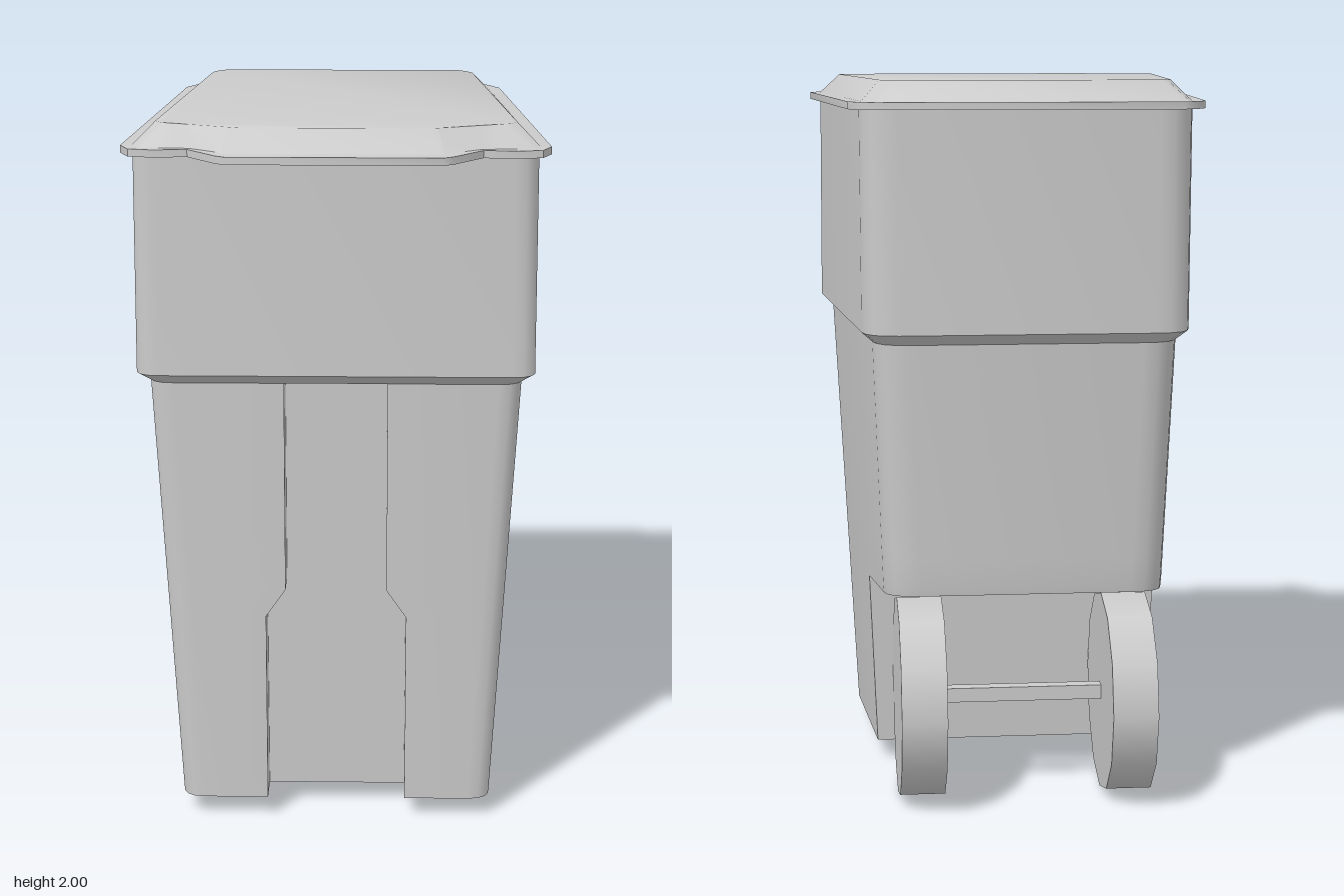
import * as THREE from 'three';
import { toCreasedNormals } from 'three/addons/utils/BufferGeometryUtils.js';

const material = new THREE.MeshStandardMaterial({ color: 0xcccccc, side: THREE.DoubleSide });
const V = (x, y, z) => new THREE.Vector3(x, y, z);
const lerp = THREE.MathUtils.lerp;

// Collects triangles from lofted rings and flat polygons
class Surface {
  constructor() { this.points = []; }
  quad(a, b, c, d) { this.points.push(a, b, c, a, c, d); }
  // rings run anticlockwise seen from above, listed from top to bottom
  loft(rings, keep = () => true) {
    for (let r = 0; r < rings.length - 1; r++) {
      const up = rings[r], low = rings[r + 1], n = up.length;
      for (let i = 0; i < n; i++) {
        const j = (i + 1) % n;
        if (keep(i)) this.quad(up[i], low[i], low[j], up[j]);
      }
    }
  }
  // flat polygon seen from above (or below when down is true)
  cap(ring, down = false) {
    const flat = ring.map(p => new THREE.Vector2(p.x, -p.z));
    for (const [a, b, c] of THREE.ShapeUtils.triangulateShape(flat, [])) {
      if (down) this.points.push(ring[a], ring[c], ring[b]);
      else this.points.push(ring[a], ring[b], ring[c]);
    }
  }
  mesh(name, crease) {
    const geometry = toCreasedNormals(new THREE.BufferGeometry().setFromPoints(this.points), crease);
    const mesh = new THREE.Mesh(geometry, material);
    mesh.name = name;
    return mesh;
  }
}

// Completes a ring from its +x half, which runs front to back
const mirrorRing = half => [...half, ...half.slice().reverse().map(p => V(-p.x, p.y, p.z))];

// Rounded corner at c between the directions of a and b
function corner(a, c, b, radius) {
  const start = c.clone().add(a.clone().sub(c).setLength(radius));
  const end = c.clone().add(b.clone().sub(c).setLength(radius));
  return new THREE.QuadraticBezierCurve3(start, c, end).getPoints(4);
}

// Tapered plan outline: wide at the front, narrow at the back
function binRing({ y, front, back, zf, zb, groove = 0, sideZ = -0.1 }) {
  const f = V(front, y, zf), b = V(back, y, zb);
  const side = f.clone().lerp(b, (zf - sideZ) / (zf - zb));
  const half = [...corner(V(0, y, zf), f, b, 0.07), side, ...corner(f, b, V(0, y, zb), 0.09)];
  if (groove) half.unshift(V(groove, y, zf - 0.1), V(groove, y, zf));
  return mirrorRing(half);
}

function makeLowerBody() {
  const s = new Surface();
  const section = (y, groove, sideZ) => {
    const t = (1.3 - y) / 1.24;
    return binRing({
      y, groove, sideZ,
      front: lerp(0.511, 0.445, t), back: lerp(0.405, 0.36, t),
      zf: lerp(0.485, 0.46, t), zb: lerp(-0.555, -0.475, t),
    });
  };
  const cut = section(0.565, 0.195);
  // the back edge rises towards the rear over the wheels
  for (const p of cut) if (p.z < -0.1) p.y += (-0.1 - p.z) * 0.085;
  const upper = [section(1.3, 0.14), section(0.7, 0.14), section(0.62, 0.195), cut];
  s.loft(upper);
  // front part carries on to the open bottom
  const bottom = section(0.06, 0.195, -0.075);
  s.loft([cut, bottom], i => i < 7 || i >= 18);
  // wheel recess wall and ceiling
  s.quad(cut[7], bottom[7], bottom[18], cut[18]);
  s.cap(cut.slice(7, 19), true);
  // top of the front groove
  const top = upper[0];
  s.cap([top[25], top[24], top[1], top[0]].map(p => p.clone()), true);
  return s.mesh('lowerBody', 0.6);
}

function makeCollar() {
  const s = new Surface();
  s.loft([
    binRing({ y: 1.93, front: 0.541, back: 0.437, zf: 0.52, zb: -0.597 }),
    binRing({ y: 1.33, front: 0.545, back: 0.435, zf: 0.522, zb: -0.59 }),
    binRing({ y: 1.3, front: 0.511, back: 0.405, zf: 0.485, zb: -0.555 }),
  ]);
  return s.mesh('collar', 0.6);
}

function makeLid() {
  const outline = (y, half) => mirrorRing(half.map(([x, z]) => V(x, y, z)));
  // front lip, shoulder, side and back corner of each outline
  const rimHalf = [[0.28, 0.652], [0.305, 0.635], [0.385, 0.54], [0.475, 0.55], [0.54, 0.535],
    [0.565, 0.48], [0.475, -0.54], [0.445, -0.6], [0.405, -0.63]];
  const domeHalf = [[0.27, 0.6], [0.285, 0.595], [0.38, 0.525], [0.43, 0.52], [0.51, 0.515],
    [0.535, 0.47], [0.44, -0.53], [0.427, -0.57], [0.405, -0.6]];
  const topHalf = [[0.25, 0.53], [0.265, 0.524], [0.39, 0.475], [0.43, 0.46], [0.457, 0.45],
    [0.477, 0.425], [0.39, -0.475], [0.375, -0.505], [0.35, -0.53]];
  const top = outline(2, topHalf), low = outline(1.925, rimHalf);
  const s = new Surface();
  s.cap(top);
  s.loft([top, outline(1.945, domeHalf), outline(1.945, rimHalf), low]);
  s.cap(low, true);
  return s.mesh('lid', 0.65);
}

function makeWheels() {
  const group = new THREE.Group();
  group.name = 'wheels';
  group.position.set(0, 0.283, -0.373);
  for (const side of [1, -1]) {
    const wheel = new THREE.Mesh(new THREE.CylinderGeometry(0.283, 0.283, 0.125, 12), material);
    wheel.name = side > 0 ? 'leftWheel' : 'rightWheel';
    wheel.rotation.set(0, 0, Math.PI / 2);
    wheel.position.x = side * 0.288;
    group.add(wheel);
  }
  const axle = new THREE.Mesh(new THREE.BoxGeometry(0.46, 0.04, 0.04), material);
  axle.name = 'axle';
  group.add(axle);
  return group;
}

export function createModel() {
  const model = new THREE.Group();
  model.name = 'wheeledBin';
  model.add(makeLowerBody(), makeCollar(), makeLid(), makeWheels());
  return model;
}
